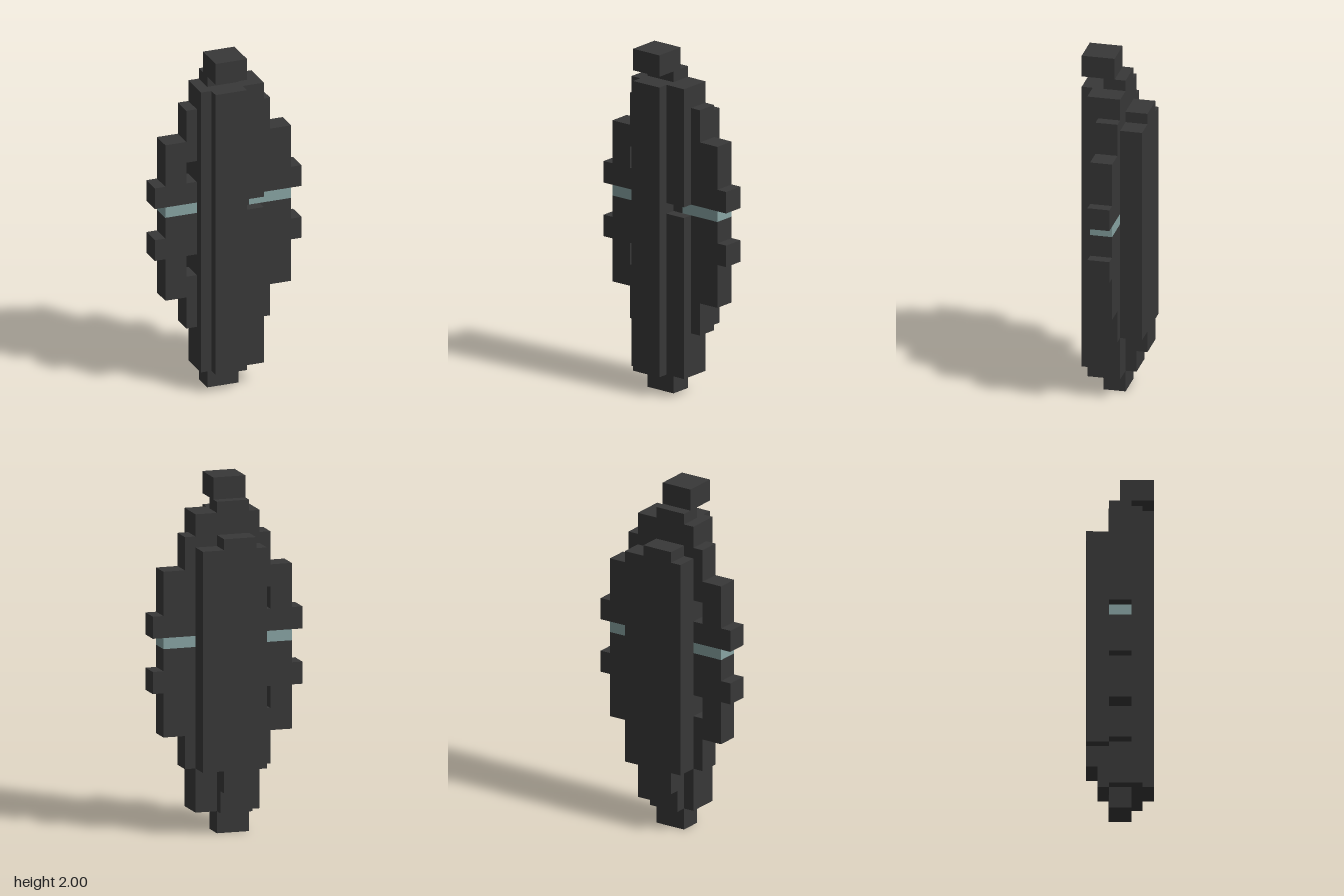
import * as THREE from 'three';

const U = 1 / 16; // one grid block

const dark = new THREE.MeshStandardMaterial({ color: 0x383838 });
dark.name = 'charcoal';
const teal = new THREE.MeshStandardMaterial({ color: 0x88a4a3 });
teal.name = 'pale teal';

// Box from block-grid limits: x0..x1, y0..y1, z0..z1
function block(parent, name, [x0, x1], [y0, y1], [z0, z1], material = dark) {
  const geometry = new THREE.BoxGeometry((x1 - x0) * U, (y1 - y0) * U, (z1 - z0) * U);
  const mesh = new THREE.Mesh(geometry, material);
  mesh.position.set((x0 + x1) * U / 2, (y0 + y1) * U / 2, (z0 + z1) * U / 2);
  mesh.name = name;
  parent.add(mesh);
}

// Stepped side wing, split by a coloured band; the right one has two slots
function wing(side, slotted) {
  const group = new THREE.Group();
  group.name = side > 0 ? 'leftWing' : 'rightWing';
  const add = (name, a, b, y0, y1, material) =>
    block(group, name, side > 0 ? [a, b] : [-b, -a], [y0, y1], [-1, 1], material);

  const inner = slotted ? [[6, 11], [13, 17], [18, 20], [22, 27]] : [[6, 17], [18, 27]];
  for (const [y0, y1] of inner) add('wingInner', 3, 4, y0, y1);
  for (const [y0, y1] of [[9, 17], [18, 24]]) add('wingOuter', 4, 6, y0, y1);
  for (const [y0, y1] of [[13, 15], [18, 20]]) add('wingTab', 6, 7, y0, y1);
  add('wingBand', side > 0 ? 2 : 3, 6, 17, 18, teal);
  return group;
}

export function createModel() {
  const model = new THREE.Group();
  model.name = 'model';
  const mid = [-2, 1]; // off-centre column shared by spine, head and foot

  // Central core, notched on the left for the band
  const core = new THREE.Group();
  core.name = 'core';
  block(core, 'coreLower', [-3, 3], [2, 17], [-1, 1]);
  block(core, 'coreMiddle', [-3, 2], [17, 18], [-1, 1]);
  block(core, 'coreUpper', [-3, 3], [18, 29], [-1, 1]);

  // Front plating and spine
  const front = new THREE.Group();
  front.name = 'frontPlating';
  block(front, 'frontPlateRight', [-3, 1], [2, 29], [1, 2]);
  block(front, 'frontPlateLeftLower', [1, 3], [2, 17], [1, 2]);
  block(front, 'frontPlateLeftUpper', [1, 3], [18, 29], [1, 2]);
  block(front, 'frontSpine', mid, [2, 29], [2, 3]);

  // Back plating with a longer middle column
  const back = new THREE.Group();
  back.name = 'backPlating';
  block(back, 'backPlate', [-3, 3], [6, 26], [-3, -1]);
  block(back, 'backTopStep', mid, [26, 27], [-3, -1]);
  block(back, 'backBottomStep', mid, [4, 6], [-3, -1]);
  block(back, 'backFootStep', mid, [2, 4], [-2, -1]);

  // Head, neck and foot
  const ends = new THREE.Group();
  ends.name = 'ends';
  block(ends, 'foot', mid, [0, 2], [-1, 1]);
  block(ends, 'neck', mid, [29, 30], [-1, 1]);
  block(ends, 'head', mid, [30, 32], [0, 3]);

  model.add(core, front, back, ends, wing(1, false), wing(-1, true));
  return model;
}
